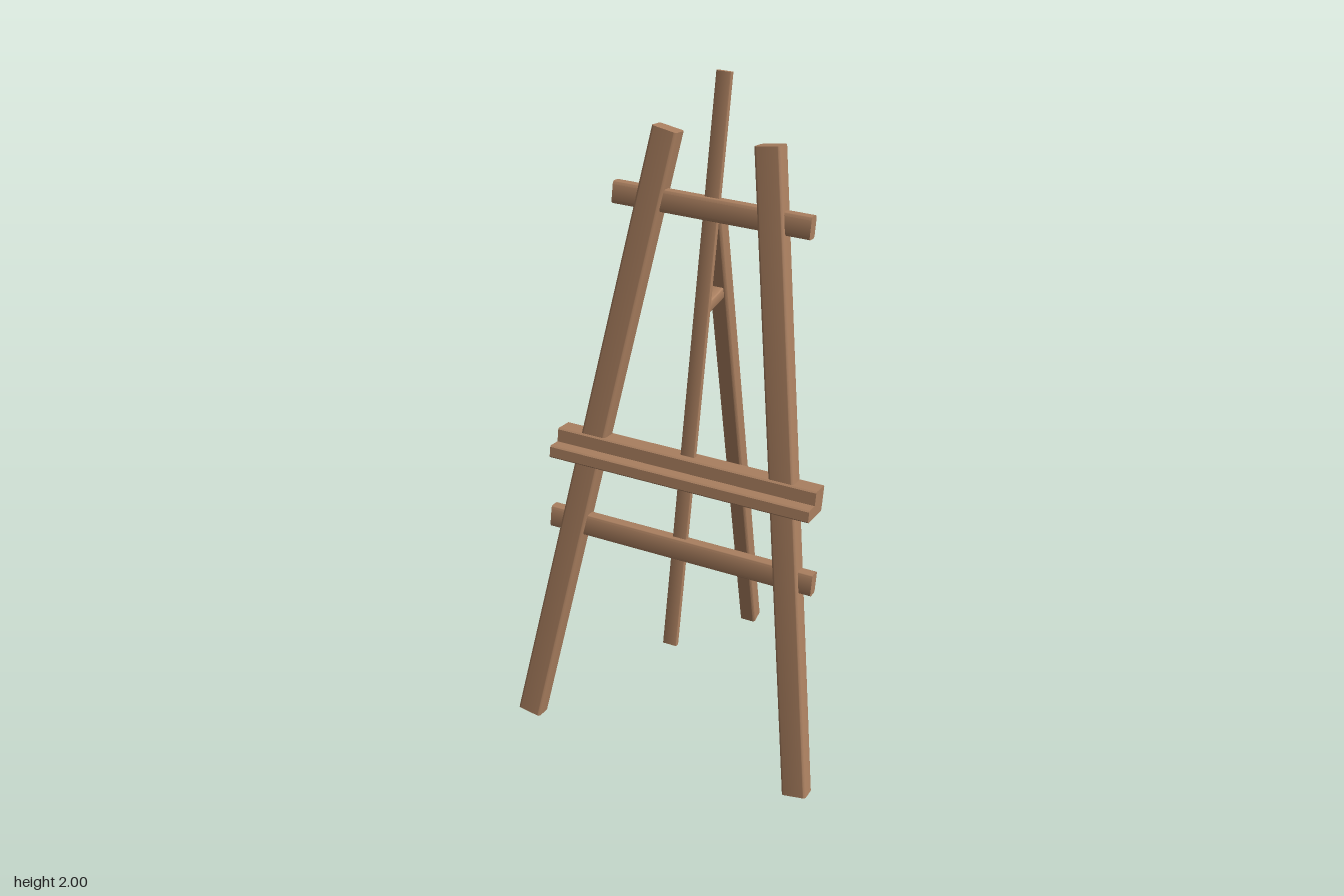
import * as THREE from 'three';
import { toCreasedNormals } from 'three/addons/utils/BufferGeometryUtils.js';

const wood = new THREE.MeshStandardMaterial({ color: 0xab8060 });
wood.name = 'wood';

// Rectangle with rounded corners
function roundedRect(w, h, r) {
  const s = new THREE.Shape();
  const x = w / 2 - r, y = h / 2 - r;
  s.absarc(x, y, r, 0, Math.PI / 2);
  s.absarc(-x, y, r, Math.PI / 2, Math.PI);
  s.absarc(-x, -y, r, Math.PI, Math.PI * 1.5);
  s.absarc(x, -y, r, Math.PI * 1.5, Math.PI * 2);
  s.closePath();
  return s;
}

// Straight batten with flat ends, centred on its length
function batten(name, shape, length, axis) {
  const geo = new THREE.ExtrudeGeometry(shape, { depth: length, bevelEnabled: false, curveSegments: 3 });
  geo.translate(0, 0, -length / 2);
  if (axis === 'y') geo.rotateX(-Math.PI / 2);
  if (axis === 'x') geo.rotateY(Math.PI / 2);
  const mesh = new THREE.Mesh(toCreasedNormals(geo, 0.6), wood);
  mesh.name = name;
  return mesh;
}

export function createModel() {
  const easel = new THREE.Group();
  easel.name = 'easel';

  // Leaning front frame: local y runs up the slope, local z points out of it
  const frame = new THREE.Group();
  frame.name = 'frontFrame';
  frame.position.z = 0.354;
  frame.rotation.x = -THREE.MathUtils.degToRad(13);
  easel.add(frame);

  // Splayed front legs
  for (const side of [1, -1]) {
    const leg = batten(side > 0 ? 'leftLeg' : 'rightLeg', roundedRect(0.075, 0.056, 0.008), 1.891, 'y');
    leg.position.set(side * 0.2955, 0.947, 0);
    leg.rotation.z = side * Math.atan2(0.295, 1.868);
    frame.add(leg);
  }

  // Thin centre mast
  const mast = batten('centreMast', roundedRect(0.044, 0.017, 0.004), 1.677, 'y');
  mast.position.y = 1.213;
  frame.add(mast);

  // Crossbars
  for (const [name, length, height, y] of [['topCrossbar', 0.58, 0.064, 1.686], ['lowerCrossbar', 0.828, 0.068, 0.686]]) {
    const bar = batten(name, roundedRect(0.038, height, 0.01), length, 'x');
    bar.position.y = y;
    frame.add(bar);
  }

  // Canvas tray: a thick rail with a lower ledge in front
  const c = 0.004;
  const tray = new THREE.Shape([
    [0.03 - c, 0.896], [0.03, 0.896 + c], [0.03, 0.974 - c], [0.03 - c, 0.974],
    [-0.035 + c, 0.974], [-0.035, 0.974 - c], [-0.035, 0.933],
    [-0.078 + c, 0.933], [-0.078, 0.933 - c], [-0.078, 0.896 + c], [-0.078 + c, 0.896],
  ].map(([x, y]) => new THREE.Vector2(x, y)));
  frame.add(batten('canvasTray', tray, 0.8, 'x'));

  // Rear leg
  const rearLeg = batten('rearLeg', roundedRect(0.052, 0.052, 0.008), 1.64, 'y');
  rearLeg.position.set(0, 0.82, -0.199);
  rearLeg.rotation.x = Math.atan2(0.302, 1.6115);
  easel.add(rearLeg);

  // Short strut between mast and rear leg
  const strut = batten('strut', roundedRect(0.035, 0.034, 0.004), 0.12, 'z');
  strut.position.set(0, 1.373, -0.02);
  easel.add(strut);

  return easel;
}
